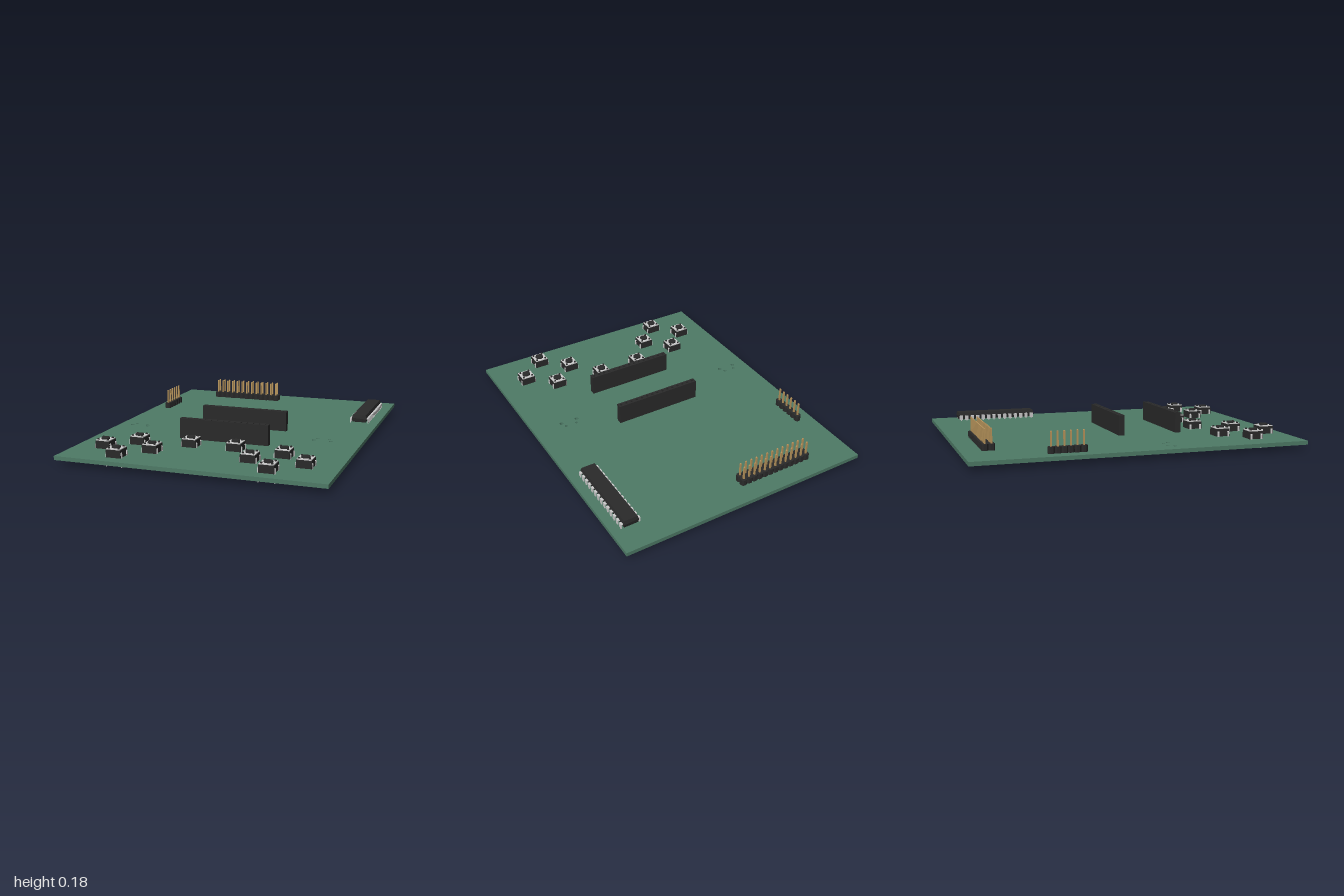
import * as THREE from 'three';
import { mergeGeometries } from 'three/addons/utils/BufferGeometryUtils.js';

const PITCH = 0.0373, BOTTOM = 0.03, TOP = 0.0535;
const material = (color) => new THREE.MeshStandardMaterial({ color });
const green = material(0x4e7a66), black = material(0x2a2a2a), gold = material(0xb8955c);
const silver = material(0xcccccc);

const box = (w, h, d, x, y, z) => new THREE.BoxGeometry(w, h, d).translate(x, y, z);
// Box given by its lower and upper height
const post = (w, d, x, y0, y1, z) => box(w, y1 - y0, d, x, (y0 + y1) / 2, z);

function addPart(parent, name, geometries, mat) {
  const plain = geometries.map((g) => (g.index ? g.toNonIndexed() : g));
  const mesh = new THREE.Mesh(mergeGeometries(plain), mat);
  mesh.name = name;
  parent.add(mesh);
  return mesh;
}

function addGroup(parent, name, x = 0, z = 0) {
  const g = new THREE.Group();
  g.name = name;
  g.position.set(x, 0, z);
  parent.add(g);
  return g;
}

const polygon = (points) => new THREE.Shape(points.map(([x, y]) => new THREE.Vector2(x, y)));
const rectangle = (w, d) => polygon([[-w / 2, -d / 2], [w / 2, -d / 2], [w / 2, d / 2], [-w / 2, d / 2]]);

// Plan outline raised from y0 to y1
function raise(shape, y0, y1, curveSegments = 12) {
  return new THREE.ExtrudeGeometry(shape, { depth: y1 - y0, bevelEnabled: false, curveSegments })
    .rotateX(-Math.PI / 2).translate(0, y0, 0);
}

// Bent strip of sheet metal: side profile in x/y, thickness along x, width along z
function strip(path, thickness, width) {
  const shape = polygon([...path, ...path.map(([x, y]) => [x - thickness, y]).reverse()]);
  return new THREE.ExtrudeGeometry(shape, { depth: width, bevelEnabled: false }).translate(0, 0, -width / 2);
}

const centred = (count) => Array.from({ length: count }, (_, i) => (i - (count - 1) / 2) * PITCH);

// Board with its drilled mounting holes
function addBoard(root) {
  const shape = rectangle(1.58, 2);
  for (const [cx, cz] of [[-0.65, 0.19], [0.552, 0.182]]) {
    for (const [dx, dz, r] of [[0.052, 0, 0.012], [0.035, -0.037, 0.009]]) {
      for (const s of [-1, 1]) {
        shape.holes.push(new THREE.Path().absarc(cx + s * dx, -(cz + dz), r, 0, Math.PI * 2, true));
      }
    }
  }
  addPart(root, 'board', [raise(shape, BOTTOM, TOP)], green);
}

// Pin header: chamfered cells with square pins through them
function addPinHeader(root, name, columns, rows, x, z) {
  const group = addGroup(root, name, x, z);
  const cells = [], pins = [];
  const h = PITCH / 2, c = 0.009;
  for (const px of centred(columns)) {
    for (const pz of centred(rows)) {
      const cell = polygon([[-h, -h + c], [-h + c, -h], [h - c, -h], [h, -h + c],
        [h, h - c], [h - c, h], [-h + c, h], [-h, h - c]]);
      cells.push(raise(cell, TOP, TOP + PITCH).translate(px, 0, pz));
      pins.push(post(0.0094, 0.0094, px, 0.016, 0.174, pz));
      // Tapered pin ends
      for (const [y, flip] of [[0.176, 0], [0.014, Math.PI]]) {
        pins.push(new THREE.CylinderGeometry(0.0035, 0.00665, 0.004, 4).rotateY(Math.PI / 4)
          .rotateX(flip).translate(px, y, pz));
      }
    }
  }
  addPart(group, 'headerBody', cells, black);
  addPart(group, 'headerPins', pins, gold);
}

// Tall socket strip with a row of square openings
function addSocket(root, name, x, z) {
  const group = addGroup(root, name, x, z);
  const length = PITCH * 15, top = 0.178;
  const shape = rectangle(length, 0.0365);
  const pins = [];
  for (const px of centred(15)) {
    const r = 0.007;
    shape.holes.push(new THREE.Path([[px - r, -r], [px - r, r], [px + r, r], [px + r, -r]]
      .map(([a, b]) => new THREE.Vector2(a, b))));
    pins.push(post(0.009, 0.005, px, 0.012, TOP + 0.01, 0));
  }
  addPart(group, 'socketBody', [raise(shape, TOP + 0.03, top), post(length, 0.0365, 0, TOP, TOP + 0.03, 0)], black);
  addPart(group, 'socketPins', pins, gold);
}

// Dual-row chip with bent legs
function addChip(root) {
  const group = addGroup(root, 'chip', 0.671, -0.58);
  const length = 0.52;
  const section = polygon([[-0.043, 0.062], [0.043, 0.062], [0.047, 0.083], [0.047, 0.089],
    [0.042, 0.108], [-0.042, 0.108], [-0.047, 0.089], [-0.047, 0.083]]);
  const body = new THREE.ExtrudeGeometry(section, { depth: length, bevelEnabled: false })
    .translate(0, 0, -length / 2);
  // Draw the ends in above and below the parting line
  const p = body.attributes.position;
  for (let i = 0; i < p.count; i++) {
    const slope = Math.max(0, Math.abs(p.getY(i) - 0.086) - 0.003) * 0.25;
    p.setZ(i, p.getZ(i) - Math.sign(p.getZ(i)) * slope);
  }
  body.computeVertexNormals();
  addPart(group, 'chipBody', [body], black);

  const legs = [];
  for (const s of [-1, 1]) {
    for (const z of centred(14)) {
      legs.push(post(0.016, 0.022, s * 0.051, 0.083, 0.088, z));
      legs.push(post(0.005, 0.022, s * 0.0575, 0.059, 0.088, z));
      legs.push(post(0.005, 0.008, s * 0.0575, 0.006, 0.06, z));
    }
  }
  addPart(group, 'chipLegs', legs, silver);
}

// Square push switch with metal cover, rivets, plunger and four sprung legs
function addSwitch(root, x, z) {
  const group = addGroup(root, 'pushSwitch', x, z);
  const rivets = [], legs = [];
  for (const sx of [-1, 1]) {
    for (const sz of [-1, 1]) {
      rivets.push(new THREE.CylinderGeometry(0.005, 0.0075, 0.008, 10).translate(sx * 0.03, 0.108, sz * 0.03));
      const leg = strip([[0.047, 0.085], [0.05, 0.079], [0.05, 0.05], [0.046, 0.04], [0.046, 0.032],
        [0.05, 0.02], [0.05, 0.012], [0.048, 0]].reverse(), 0.004, 0.011);
      legs.push(leg.rotateY(sx < 0 ? Math.PI : 0).translate(0, 0, sz * 0.033));
    }
  }
  const plunger = new THREE.CylinderGeometry(0.025, 0.026, 0.012, 24).translate(0, 0.1075, 0);
  addPart(group, 'switchBase', [post(0.088, 0.088, 0, TOP + 0.001, 0.1, 0)], black);
  addPart(group, 'switchCover', [post(0.083, 0.083, 0, 0.099, 0.105, 0)], silver);
  addPart(group, 'switchRivets', rivets, black);
  addPart(group, 'switchPlunger', [plunger], black);
  addPart(group, 'switchLegs', legs, silver);
}

export function createModel() {
  const root = new THREE.Group();
  root.name = 'circuitBoard';
  addBoard(root);
  addPinHeader(root, 'doubleRowHeader', 13, 2, -0.273, -0.843);
  addPinHeader(root, 'singleRowHeader', 1, 6, -0.694, -0.442);
  addSocket(root, 'rearSocket', 0.003, 0.017);
  addSocket(root, 'frontSocket', 0.003, 0.388);
  addChip(root);
  for (const [x, z] of [[-0.455, 0.59], [-0.603, 0.735], [-0.307, 0.735], [-0.455, 0.886],
    [-0.145, 0.545], [0.132, 0.545], [0.437, 0.592], [0.283, 0.735], [0.6, 0.735], [0.437, 0.885]]) {
    addSwitch(root, x, z);
  }
  return root;
}
